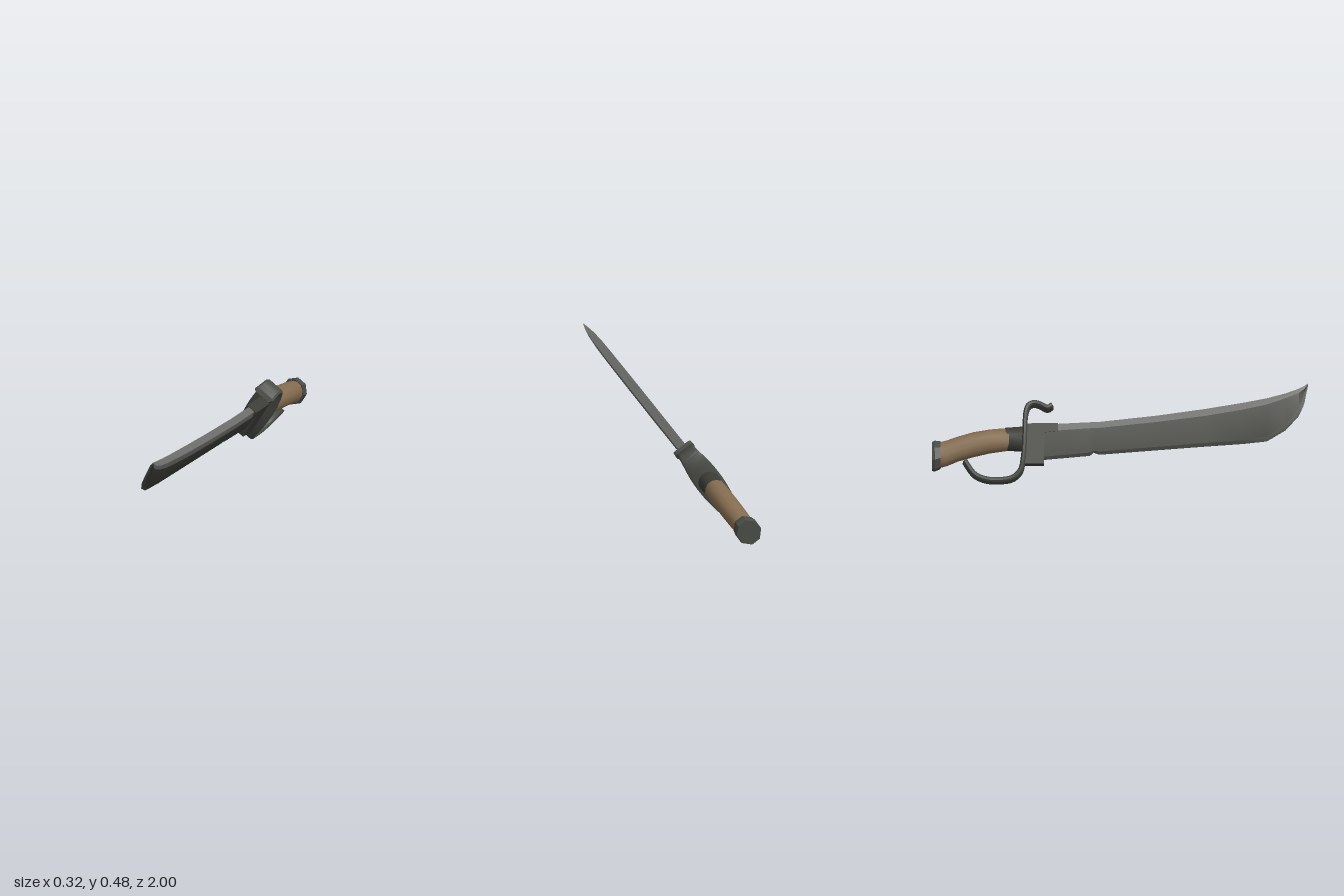
import * as THREE from 'three';
import { toCreasedNormals } from 'three/addons/utils/BufferGeometryUtils.js';

const material = (name, color) => {
  const m = new THREE.MeshStandardMaterial({ color });
  m.name = name;
  return m;
};

// Joins equal-length rings of points; sideMats gives a material index per side
function loft(rings, sideMats, crease) {
  const pos = [], geo = new THREE.BufferGeometry();
  const n = rings[0].length, last = rings.length - 1;
  const tri = (...pts) => pts.forEach((p) => pos.push(p.x, p.y, p.z));
  for (let j = 0; j < n; j++) {
    const start = pos.length / 3, k = (j + 1) % n;
    for (let i = 0; i < last; i++) {
      const a = rings[i][j], b = rings[i][k], c = rings[i + 1][k], d = rings[i + 1][j];
      tri(a, b, c);
      tri(a, c, d);
    }
    geo.addGroup(start, pos.length / 3 - start, sideMats ? sideMats[j] : 0);
  }
  const start = pos.length / 3;
  for (let j = 1; j < n - 1; j++) {
    tri(rings[0][0], rings[0][j + 1], rings[0][j]);
    tri(rings[last][0], rings[last][j], rings[last][j + 1]);
  }
  geo.addGroup(start, pos.length / 3 - start, 0);
  geo.setAttribute('position', new THREE.Float32BufferAttribute(pos, 3));
  return toCreasedNormals(geo, crease);
}

// Elliptical ring facing along z
function oval(z, y, halfHeight, halfWidth, sides) {
  return Array.from({ length: sides }, (_, i) => {
    const a = ((i + 0.5) / sides) * Math.PI * 2;
    return new THREE.Vector3(Math.cos(a) * halfWidth, y + Math.sin(a) * halfHeight, z);
  });
}

export function createModel() {
  const steel = material('bright steel', 0x6a6a68);
  const dark = material('dark steel', 0x3b3c36);
  const iron = material('guard iron', 0x484a45);
  const wood = material('brown grip', 0x866d51);

  const model = new THREE.Group();
  const sword = new THREE.Group();
  sword.name = 'sword';
  const add = (name, geo, mat) => {
    const mesh = new THREE.Mesh(geo, mat);
    mesh.name = name;
    sword.add(mesh);
  };

  // Blade stations: z, spine, ridge, bevel, cutting edge, half thickness
  const stations = [
    [-0.45, 0.312, 0.272, 0.137, 0.122, 0.027],
    [-0.16, 0.326, 0.292, 0.163, 0.148, 0.027],
    [-0.14, 0.327, 0.293, 0.173, 0.165, 0.027],
    [-0.11, 0.328, 0.294, 0.169, 0.154, 0.027],
    [0.2, 0.362, 0.326, 0.194, 0.178, 0.027],
    [0.45, 0.397, 0.358, 0.214, 0.197, 0.027],
    [0.65, 0.43, 0.392, 0.229, 0.211, 0.026],
    [0.78, 0.455, 0.42, 0.247, 0.225, 0.025],
    [0.88, 0.482, 0.455, 0.308, 0.285, 0.023],
    [0.95, 0.508, 0.484, 0.405, 0.362, 0.018],
    [0.978, 0.524, 0.505, 0.488, 0.425, 0.011],
    [1, 0.54, 0.537, 0.534, 0.531, 0.001],
  ];
  const bladeRings = stations.map(([z, top, ridge, bevel, edge, h]) => [
    [0.0015, edge], [h * 0.45, bevel], [h, ridge], [h * 0.75, top],
    [-h * 0.75, top], [-h, ridge], [-h * 0.45, bevel], [-0.0015, edge],
  ].map(([x, y]) => new THREE.Vector3(x, y, z)));
  add('blade', loft(bladeRings, [2, 1, 0, 0, 0, 1, 2, 2], 0.4), [steel, dark, iron]);

  // Collar block where the blade meets the guard
  const collar = new THREE.Shape([
    [-0.515, 0.1], [-0.405, 0.1], [-0.4, 0.27], [-0.33, 0.278], [-0.33, 0.321], [-0.515, 0.318],
  ].map(([x, y]) => new THREE.Vector2(x, y)));
  const collarGeo = new THREE.ExtrudeGeometry(collar, { depth: 0.062, bevelEnabled: false });
  collarGeo.translate(0, 0, -0.031).rotateY(-Math.PI / 2);
  add('bladeCollar', collarGeo, dark);

  // Guard strap: knuckle loop, cross plate and forward hook
  const guardPath = new THREE.CatmullRomCurve3([
    [-0.825, 0.118], [-0.805, 0.085], [-0.77, 0.042], [-0.71, 0.017], [-0.64, 0.013], [-0.57, 0.026],
    [-0.53, 0.065], [-0.515, 0.13], [-0.508, 0.22], [-0.505, 0.31], [-0.5, 0.38],
    [-0.485, 0.418], [-0.455, 0.43], [-0.42, 0.42], [-0.385, 0.403], [-0.36, 0.418],
  ].map(([z, y]) => new THREE.Vector3(0, y, z)));
  const guardRings = [];
  for (let i = 0; i <= 44; i++) {
    const p = guardPath.getPoint(i / 44), t = guardPath.getTangent(i / 44);
    const swell = Math.max(0, 1 - ((p.y - 0.24) / 0.23) ** 2);
    const w = (0.044 + 0.029 * swell) * (p.z < -0.7 ? 1 - (-0.7 - p.z) * 2 : 1), h = 0.013;
    guardRings.push([
      [w, -h * 0.4], [w, h * 0.4], [w * 0.8, h], [-w * 0.8, h],
      [-w, h * 0.4], [-w, -h * 0.4], [-w * 0.8, -h], [w * 0.8, -h],
    ].map(([x, d]) => new THREE.Vector3(x, p.y + d * t.z, p.z - d * t.y)));
  }
  add('guard', loft(guardRings, null, 0.6), iron);

  // Ferrule, curved grip and faceted pommel
  add('ferrule', loft([
    oval(-0.61, 0.238, 0.062, 0.056, 12), oval(-0.5, 0.24, 0.068, 0.06, 12),
  ], null, 0.7), dark);
  add('grip', loft([
    oval(-0.97, 0.15, 0.07, 0.057, 12), oval(-0.92, 0.163, 0.069, 0.058, 12),
    oval(-0.86, 0.186, 0.067, 0.06, 12), oval(-0.78, 0.209, 0.067, 0.061, 12),
    oval(-0.69, 0.227, 0.064, 0.06, 12), oval(-0.59, 0.238, 0.061, 0.057, 12),
  ], null, 0.7), wood);
  add('pommel', loft([
    oval(-1, 0.145, 0.079, 0.066, 8), oval(-0.985, 0.147, 0.085, 0.071, 8),
    oval(-0.955, 0.154, 0.077, 0.064, 8),
  ], null, 0.3), iron);

  // The whole weapon leans over to one side
  sword.rotation.z = -0.567;
  sword.position.set(-0.127, 0.025, 0);
  model.add(sword);
  return model;
}
